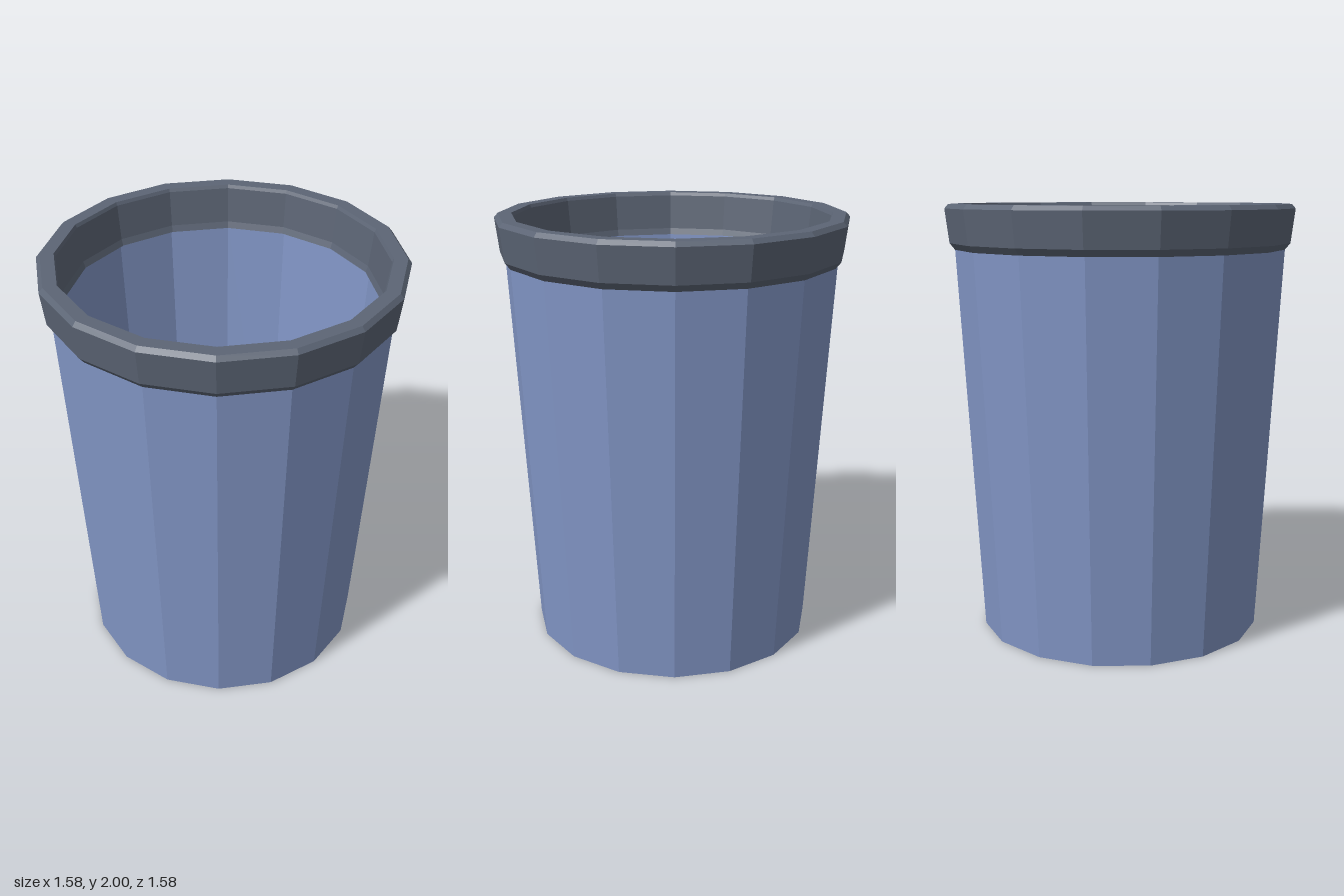
import * as THREE from 'three';

const SIDES = 16;
const FLAT = Math.cos(Math.PI / SIDES); // corner radius -> flat-to-flat radius

// Faceted solid of revolution; profile is [flat radius, height], flats face the axes
function facetedLathe(name, profile, color) {
  const points = profile.map(([r, y]) => new THREE.Vector2(r / FLAT, y));
  const geometry = new THREE.LatheGeometry(points, SIDES, Math.PI / SIDES);
  const material = new THREE.MeshStandardMaterial({ color, flatShading: true });
  const mesh = new THREE.Mesh(geometry, material);
  mesh.name = name;
  return mesh;
}

export function createModel() {
  const model = new THREE.Group();
  model.name = 'wasteBin';

  // Tapered bucket: underside, outer wall, top edge, inner wall, floor
  model.add(facetedLathe('bucket', [
    [0, 0], [0.65, 0], [0.75, 1.81], [0.702, 1.81], [0.603, 0.05], [0, 0.05],
  ], 0x8296c6));

  // Bevelled collar, closed ring wrapped over the bucket's top edge
  model.add(facetedLathe('rim', [
    [0.68, 1.79], [0.745, 1.79], [0.773, 1.825], [0.792, 1.98], [0.775, 2],
    [0.715, 2], [0.708, 1.985], [0.69, 1.82], [0.68, 1.79],
  ], 0x5c6575));

  return model;
}
